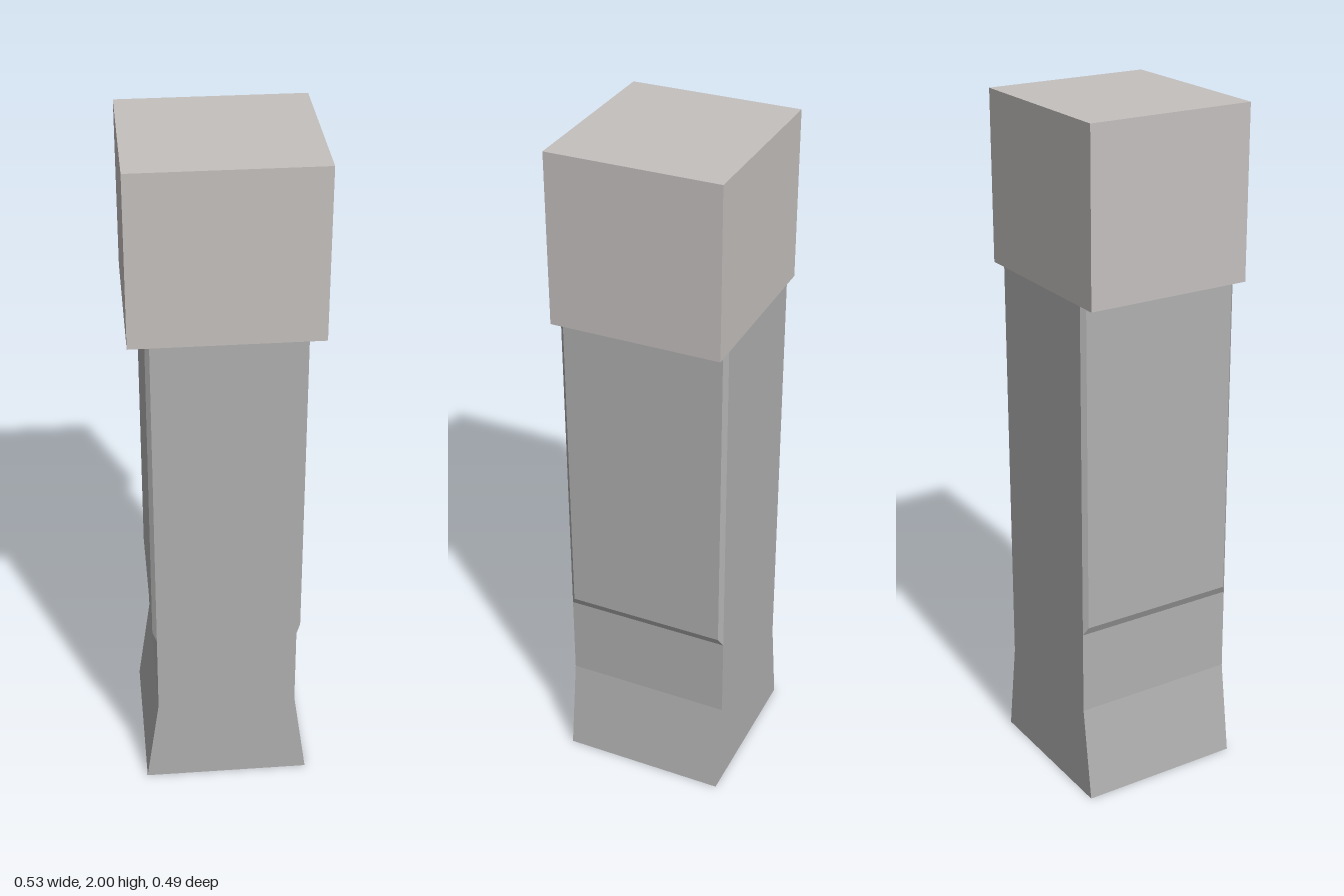
import * as THREE from 'three';

const DEPTH = 0.49;
const CAP_BOTTOM = 1.51;
const WAIST = 0.205; // half width of the straight shaft

// Raised side panel: a thin slab whose outer face is bevelled at both sides and the bottom
function panelGeometry() {
  const bottom = 0.53, thickness = 0.012, bevel = 0.012, bottomBevel = 0.025;
  const height = CAP_BOTTOM - bottom;
  const geometry = new THREE.BoxGeometry(thickness, height, DEPTH);
  geometry.translate(WAIST + thickness / 2, bottom + height / 2, 0);
  const p = geometry.attributes.position;
  for (let i = 0; i < p.count; i++) {
    if (p.getX(i) < WAIST + thickness / 2) continue;
    p.setZ(i, p.getZ(i) - Math.sign(p.getZ(i)) * bevel);
    if (p.getY(i) < bottom + height / 2) p.setY(i, bottom + bottomBevel);
  }
  geometry.computeVertexNormals();
  return geometry;
}

export function createModel() {
  const group = new THREE.Group();
  group.name = 'post';
  const shaftMaterial = new THREE.MeshStandardMaterial({ color: 0xb0b0b0 });
  const capMaterial = new THREE.MeshStandardMaterial({ color: 0xc4c0be });

  const add = (name, geometry, material) => {
    const mesh = new THREE.Mesh(geometry, material);
    mesh.name = name;
    group.add(mesh);
    return mesh;
  };

  // Shaft with flared foot
  const profile = new THREE.Shape([
    [-0.244, 0], [0.244, 0], [WAIST, 0.28], [WAIST, CAP_BOTTOM],
    [-WAIST, CAP_BOTTOM], [-WAIST, 0.28],
  ].map(([x, y]) => new THREE.Vector2(x, y)));
  const shaft = new THREE.ExtrudeGeometry(profile, { depth: DEPTH, bevelEnabled: false });
  shaft.translate(0, 0, -DEPTH / 2);
  add('shaft', shaft, shaftMaterial);

  // Bevelled panels on both sides
  const panel = panelGeometry();
  add('leftPanel', panel, shaftMaterial);
  add('rightPanel', panel, shaftMaterial).rotation.y = Math.PI;

  // Square cap block
  const cap = new THREE.BoxGeometry(0.526, 2 - CAP_BOTTOM, DEPTH);
  add('cap', cap, capMaterial).position.y = (2 + CAP_BOTTOM) / 2;

  return group;
}
